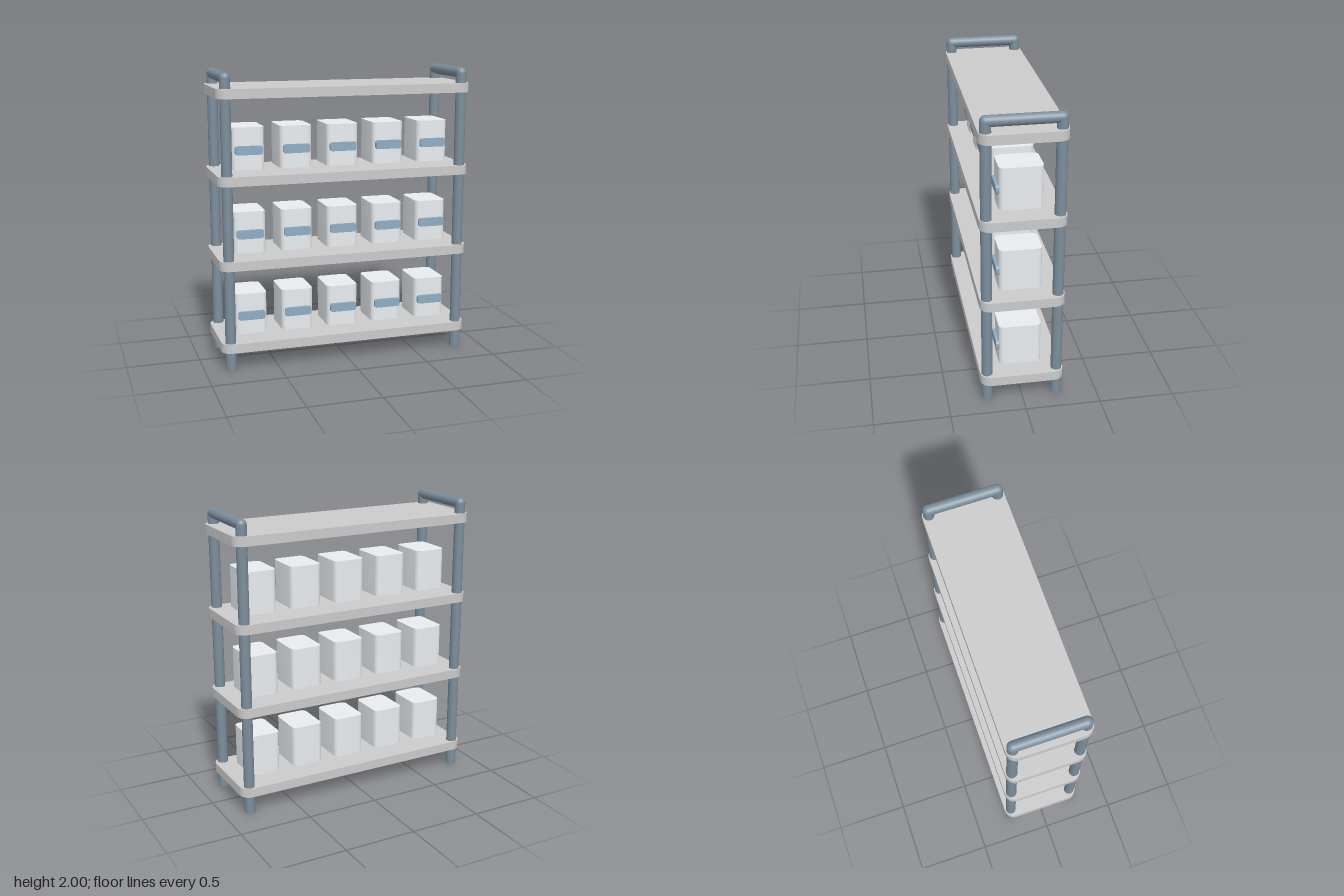
import * as THREE from 'three';
import { toCreasedNormals } from 'three/addons/utils/BufferGeometryUtils.js';

const SHELF_Y = [0.122, 0.692, 1.261, 1.831]; // underside of each shelf
const SHELF_T = 0.064;
const POST_X = 0.821, POST_Z = 0.233, POST_R = 0.036, RAIL_Y = 2 - POST_R;
const BIN_W = 0.221, BIN_H = 0.285, BIN_D = 0.282, BIN_STEP = 0.327, BIN_GAP = 0.021;

const paint = (color) => new THREE.MeshStandardMaterial({ color });

// Slab with rounded outline w x h in XY, thickness along +z, smooth round corners
function roundedSlab(w, h, thickness, r) {
  const x = w / 2, y = h / 2, s = new THREE.Shape();
  s.absarc(x - r, y - r, r, 0, Math.PI / 2);
  s.absarc(r - x, y - r, r, Math.PI / 2, Math.PI);
  s.absarc(r - x, r - y, r, Math.PI, Math.PI * 1.5);
  s.absarc(x - r, r - y, r, Math.PI * 1.5, Math.PI * 2);
  const g = new THREE.ExtrudeGeometry(s, { depth: thickness, bevelEnabled: false, curveSegments: 8 });
  return toCreasedNormals(g, 0.6);
}

// Same slab lying flat, with its underside on y = 0
const flatSlab = (w, d, height, r) => roundedSlab(w, d, height, r).rotateX(-Math.PI / 2);

export function createModel() {
  const model = new THREE.Group();
  model.name = 'shelvingUnit';
  const shelfMat = paint(0xcccccc), postMat = paint(0x7b8e9c);
  const binMat = paint(0xe8edf0), handleMat = paint(0x8fadc4);

  const add = (parent, name, geometry, material, x, y, z) => {
    const mesh = new THREE.Mesh(geometry, material);
    mesh.name = name;
    mesh.position.set(x, y, z);
    parent.add(mesh);
  };

  // End frames: two posts, round elbows and a top rail per side
  const postGeo = new THREE.CylinderGeometry(POST_R, POST_R, RAIL_Y, 24);
  const elbowGeo = new THREE.SphereGeometry(POST_R, 24, 16);
  const railGeo = new THREE.CylinderGeometry(POST_R, POST_R, POST_Z * 2, 24).rotateX(Math.PI / 2);
  for (const side of [-1, 1]) {
    const frame = new THREE.Group();
    frame.name = side > 0 ? 'leftFrame' : 'rightFrame';
    for (const end of [-1, 1]) {
      add(frame, end > 0 ? 'frontPost' : 'backPost', postGeo, postMat, side * POST_X, RAIL_Y / 2, end * POST_Z);
      add(frame, 'elbow', elbowGeo, postMat, side * POST_X, RAIL_Y, end * POST_Z);
    }
    add(frame, 'topRail', railGeo, postMat, side * POST_X, RAIL_Y, 0);
    model.add(frame);
  }

  // Shelves
  const shelfGeo = flatSlab(1.764, 0.556, SHELF_T, 0.07);
  for (const y of SHELF_Y) add(model, 'shelf', shelfGeo, shelfMat, 0, y, 0);

  // Rows of bins with front handles on the lower three shelves
  const binGeo = flatSlab(BIN_W, BIN_D, BIN_H, 0.035);
  const handleGeo = roundedSlab(0.185, 0.06, 0.026, 0.016);
  for (const y of SHELF_Y.slice(0, 3)) {
    for (let i = -2; i <= 2; i++) {
      const bin = new THREE.Group();
      bin.name = 'bin';
      bin.position.set(i * BIN_STEP, y + SHELF_T + BIN_GAP, 0);
      add(bin, 'binBody', binGeo, binMat, 0, 0, 0);
      add(bin, 'handle', handleGeo, handleMat, 0, BIN_H / 2 - 0.011, 0.133);
      model.add(bin);
    }
  }
  return model;
}
